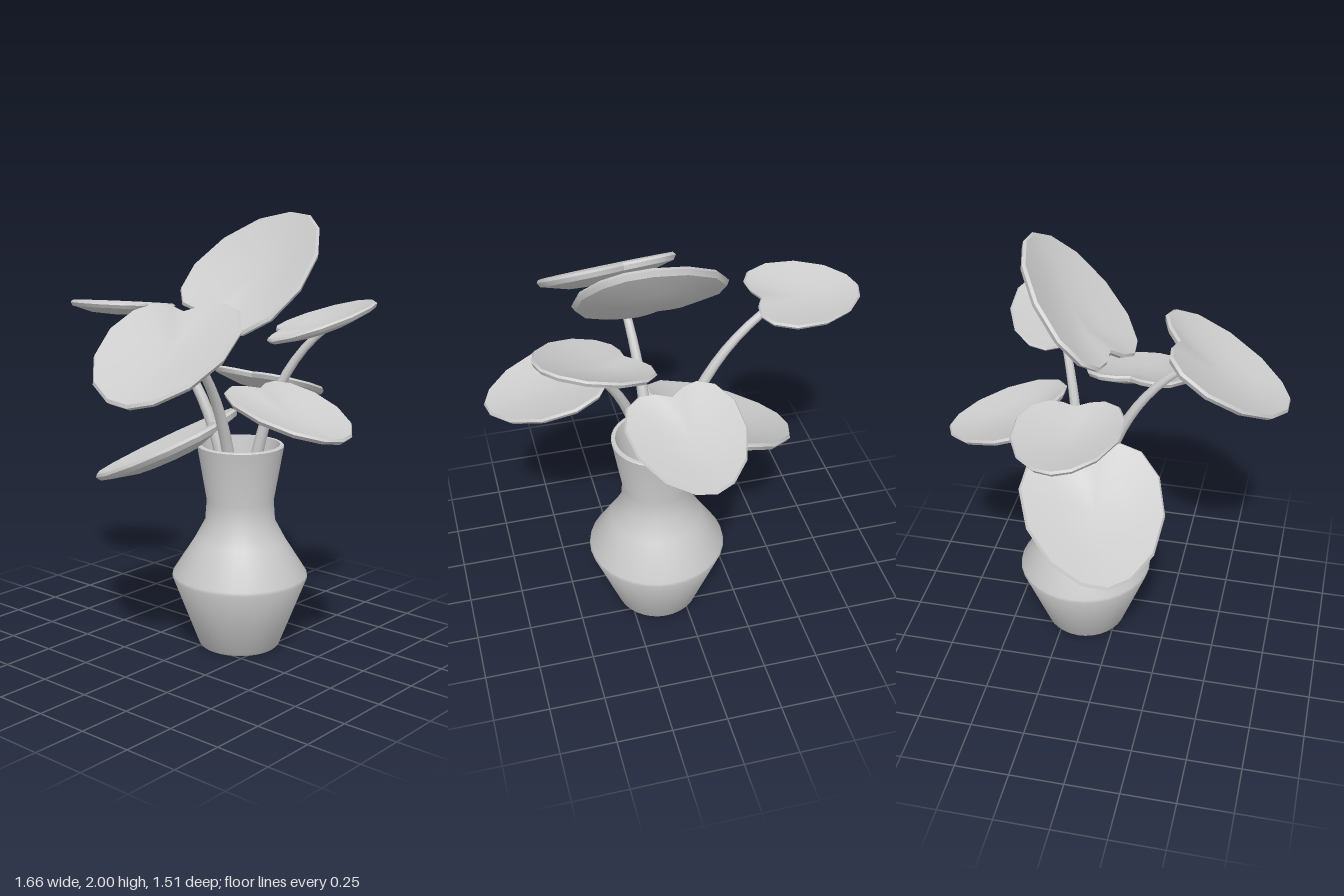
import * as THREE from 'three';
import { toCreasedNormals } from 'three/addons/utils/BufferGeometryUtils.js';

const V = (x, y, z) => new THREE.Vector3(x, y, z);
const material = new THREE.MeshStandardMaterial({ color: 0xcccccc });
const AXIS = V(0.11, 0, -0.155); // centre line of the vase

// Half of the heart outline, from notch to tip: along the leaf, across the leaf
const HALF = [[0, 0], [-0.07, 0.13], [-0.09, 0.27], [-0.01, 0.41], [0.2, 0.505], [0.5, 0.49], [0.78, 0.36], [0.95, 0.17], [1, 0]];
const OUTLINE = [...HALF, ...HALF.slice(1, -1).reverse().map(([u, w]) => [u, -w])];

// Leaf cross-section, from the cupped top over the rim to the underside: scale, height
const RINGS = [[0, -0.06], [0.5, -0.04], [0.97, 0.02], [1, 0], [0.96, -0.035], [0.55, -0.095], [0, -0.115]];

function leafGeometry(length, width) {
  const c = 0.42, n = OUTLINE.length, pos = [], index = [];
  for (const [r, y] of RINGS)
    for (const [u, w] of OUTLINE) pos.push((c + (u - c) * r) * length, y * length, w * r * width);
  for (let k = 0; k < RINGS.length - 1; k++)
    for (let i = 0; i < n; i++) {
      const j = (i + 1) % n, a = k * n + i, d = k * n + j, b = a + n, e = d + n;
      if (RINGS[k + 1][0] > 0) index.push(a, b, e);
      if (RINGS[k][0] > 0) index.push(a, e, d);
    }
  const geo = new THREE.BufferGeometry();
  geo.setAttribute('position', new THREE.Float32BufferAttribute(pos, 3));
  geo.setIndex(index);
  return toCreasedNormals(geo, 0.6);
}

// Bowed stem from inside the vase up to a leaf, tapering upwards
function stemMesh(end) {
  const start = AXIS.clone().lerp(end, 0.1).setY(0.66);
  const bend = AXIS.clone().lerp(end, 0.26).setY(start.y + 0.74 * (end.y - start.y));
  const path = new THREE.QuadraticBezierCurve3(start, bend, end), steps = 14, sides = 8;
  const geo = new THREE.TubeGeometry(path, steps, 0.026, sides);
  const p = geo.attributes.position, q = V(0, 0, 0);
  for (let i = 0; i < p.count; i++) {
    const t = Math.floor(i / (sides + 1)) / steps, mid = path.getPointAt(t);
    q.fromBufferAttribute(p, i).sub(mid).multiplyScalar(1.25 - 0.6 * t).add(mid);
    p.setXYZ(i, q.x, q.y, q.z);
  }
  const stem = new THREE.Mesh(geo, material);
  stem.name = 'stem';
  return stem;
}

// One leaf from notch to tip with the given facing; grip is where a stem meets it
function makeLeaf({ name, notch, tip, facing, wide = 1, grip = 0 }) {
  const group = new THREE.Group();
  group.name = name;
  const along = tip.clone().sub(notch), length = along.length();
  const u = along.clone().normalize();
  const up = facing.clone().addScaledVector(u, -facing.dot(u)).normalize();
  const side = u.clone().cross(up);

  const leaf = new THREE.Mesh(leafGeometry(length, length * wide), material);
  leaf.name = 'leaf';
  leaf.quaternion.setFromRotationMatrix(new THREE.Matrix4().makeBasis(u, up, side));
  leaf.position.copy(notch);
  group.add(leaf);

  if (grip) group.add(stemMesh(notch.clone().addScaledVector(along, grip).addScaledVector(up, -0.095 * length)));
  return group;
}

const LEAVES = [
  { name: 'topLeaf', notch: V(0.045, 1.575, -0.02), tip: V(0.29, 1.985, -0.415), facing: V(0, 0.69, 0.72), wide: 1.02 },
  { name: 'frontLeaf', notch: V(0.145, 1.605, 0.26), tip: V(0.28, 1.285, 0.755), facing: V(0.08, 0.83, 0.55), wide: 1.03, grip: 0.2 },
  { name: 'rightLeaf', notch: V(-0.38, 1.56, -0.07), tip: V(-0.83, 1.545, -0.06), facing: V(0, 1, -0.1), grip: 0.15 },
  { name: 'lowRightLeaf', notch: V(-0.01, 1.045, -0.12), tip: V(-0.555, 0.755, 0.1), facing: V(-0.52, 1, 0.26), wide: 0.97 },
  { name: 'highLeftLeaf', notch: V(0.26, 1.48, -0.245), tip: V(0.64, 1.62, -0.44), facing: V(-0.28, 1, 0.25), wide: 1.06, grip: 0.45 },
  { name: 'lowLeftLeaf', notch: V(0.345, 1.265, 0.01), tip: V(0.83, 1.115, 0.065), facing: V(0.33, 1, 0), wide: 0.97 },
  { name: 'backLeaf', notch: V(0.07, 1.265, -0.28), tip: V(0, 1.115, -0.76), facing: V(0, 1, -0.34), wide: 0.98 },
];

export function createModel() {
  const model = new THREE.Group();
  model.name = 'pottedPlant';

  // Vase: closed base, sharp belly, waisted neck, thin lip and hollow inside
  const profile = [
    [0, 0], [0.18, 0], [0.19, 0.012], [0.315, 0.335], [0.312, 0.35], [0.21, 0.51], [0.162, 0.6], [0.155, 0.7],
    [0.199, 0.955], [0.194, 0.96], [0.18, 0.96], [0.137, 0.7], [0.143, 0.6], [0, 0.58],
  ].map(([r, y]) => new THREE.Vector2(r, y));
  const vase = new THREE.Mesh(toCreasedNormals(new THREE.LatheGeometry(profile, 32), 0.65), material);
  vase.name = 'vase';
  vase.position.copy(AXIS);
  model.add(vase);

  for (const leaf of LEAVES) model.add(makeLeaf(leaf));
  return model;
}
